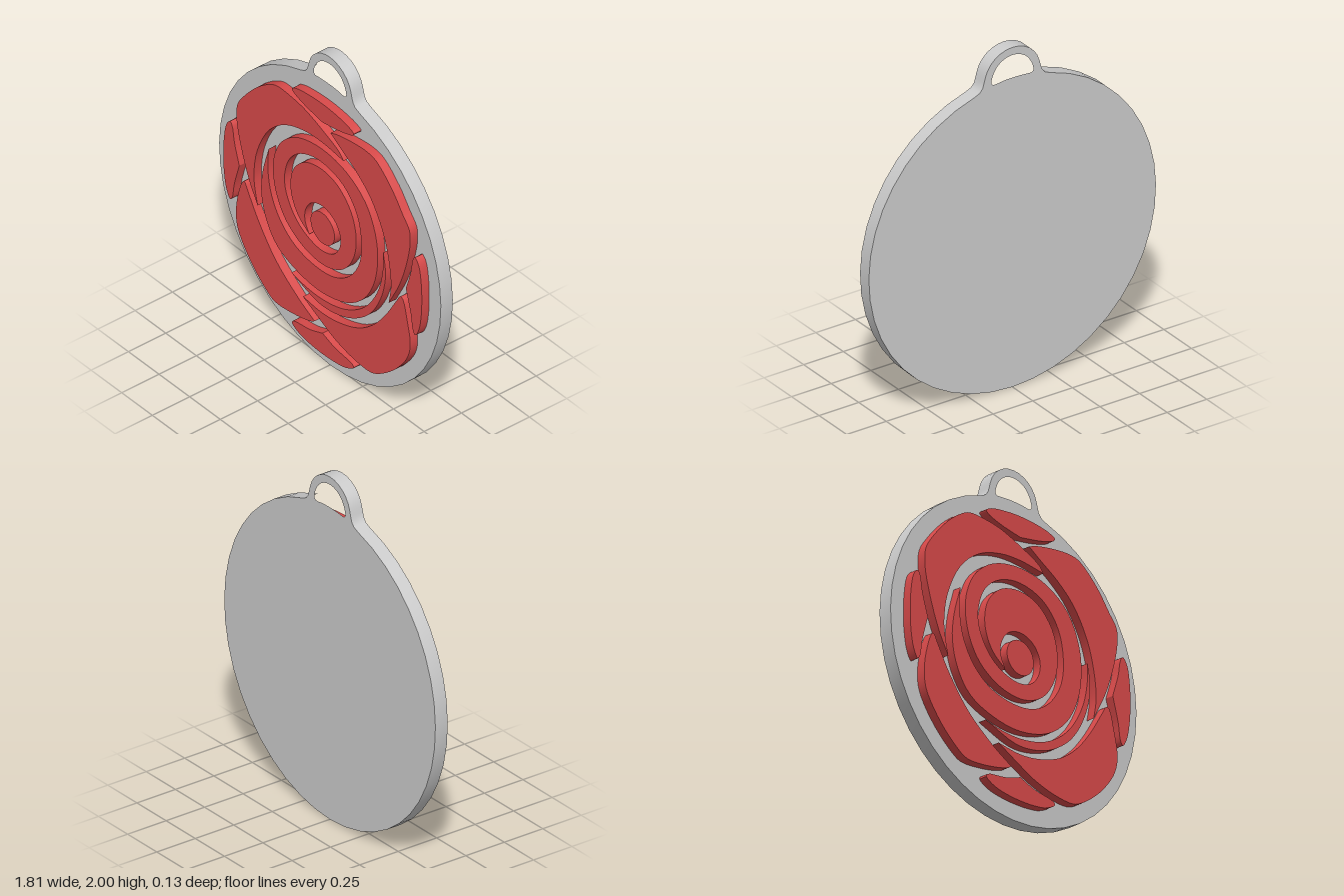
import * as THREE from 'three';
import { toCreasedNormals } from 'three/addons/utils/BufferGeometryUtils.js';

const CY = 0.905, R = 0.905;          // disc centre height and radius
const BACK = -0.065, FACE = 0.015, TOP = 0.065;

const grey = new THREE.MeshStandardMaterial({ color: 0xcccccc });
const red = new THREE.MeshStandardMaterial({ color: 0xd94a4a });

// Smooth runs of x,y pairs joined at sharp corners; each run ends where the next starts
function outline(runs, steps = 4) {
  const pts = [];
  runs.forEach((run, i) => {
    const next = runs[(i + 1) % runs.length];
    const flat = [...run, next[0], next[1]];
    const v = [];
    for (let k = 0; k < flat.length; k += 2) v.push(new THREE.Vector3(flat[k], flat[k + 1], 0));
    const n = (v.length - 1) * steps;
    const line = v.length > 2 ? new THREE.CatmullRomCurve3(v).getPoints(n) : v;
    line.slice(0, -1).forEach((p) => pts.push(new THREE.Vector2(p.x, p.y)));
  });
  return pts;
}

function slab(name, points, z0, z1, material, holes = []) {
  const shape = new THREE.Shape(points);
  holes.forEach((h) => shape.holes.push(new THREE.Path(h)));
  const geo = new THREE.ExtrudeGeometry(shape, { depth: z1 - z0, bevelEnabled: false });
  geo.translate(0, 0, z0);
  const mesh = new THREE.Mesh(toCreasedNormals(geo, 0.5), material);
  mesh.name = name;
  return mesh;
}

function backingPlate() {
  const pts = [];
  // disc rim, running clockwise from right of the loop to left of it
  const gap = 0.265, n = 40;
  for (let i = 0; i <= n; i++) {
    const a = Math.PI / 2 - gap - (i / n) * (Math.PI * 2 - gap * 2);
    pts.push(new THREE.Vector2(R * Math.cos(a), CY + R * Math.sin(a)));
  }
  // hanging loop with filleted feet
  const arch = [-0.205, 1.793, -0.187, 1.815, -0.178, 1.845];
  for (let i = 1; i < 14; i++) {
    const a = Math.PI - (i / 14) * Math.PI;
    arch.push(0.175 * Math.cos(a), 1.835 + 0.165 * Math.sin(a));
  }
  arch.push(0.178, 1.845, 0.187, 1.815, 0.205, 1.793);
  for (let k = 0; k < arch.length; k += 2) pts.push(new THREE.Vector2(arch[k], arch[k + 1]));
  const hole = outline([[
    -0.12, 1.815, -0.132, 1.828, -0.125, 1.865, -0.095, 1.915, -0.05, 1.945, 0, 1.955,
    0.05, 1.945, 0.095, 1.915, 0.125, 1.865, 0.132, 1.828, 0.12, 1.815, 0.06, 1.82, 0, 1.822, -0.06, 1.82,
  ]]);
  return slab('backingPlate', pts, BACK, FACE, grey, [hole]);
}

const petals = {
  upperLeftPetal: [
    [0.17, 1.45, 0.14, 1.485, 0, 1.55, -0.15, 1.602, -0.28, 1.62, -0.37, 1.62, -0.43, 1.595, -0.53, 1.52,
      -0.65, 1.385, -0.695, 1.31, -0.702, 1.21, -0.665, 1.05, -0.6, 0.875],
    [-0.53, 0.75, -0.555, 0.865, -0.56, 0.945, -0.535, 1.1, -0.44, 1.29, -0.305, 1.405, -0.15, 1.458, 0, 1.468],
  ],
  upperRightPetal: [
    [0.065, 1.57, 0.12, 1.59, 0.25, 1.615, 0.37, 1.622, 0.44, 1.605, 0.565, 1.5, 0.655, 1.385,
      0.708, 1.315, 0.715, 1.235, 0.69, 1.1, 0.63, 0.92],
    [0.54, 0.745, 0.558, 0.865, 0.54, 1.02, 0.49, 1.18, 0.39, 1.34, 0.275, 1.44, 0.14, 1.522],
  ],
  lowerRightPetal: [
    [-0.16, 0.375, 0, 0.36, 0.15, 0.382, 0.3, 0.44, 0.42, 0.535, 0.52, 0.66, 0.6, 0.79, 0.635, 0.842,
      0.655, 0.835, 0.69, 0.72, 0.715, 0.6, 0.71, 0.53, 0.68, 0.455, 0.58, 0.33, 0.45, 0.23, 0.385, 0.205,
      0.25, 0.212, 0.1, 0.25, -0.02, 0.305],
  ],
  lowerLeftPetal: [
    [-0.065, 0.27, -0.2, 0.345, -0.38, 0.48, -0.52, 0.65, -0.6, 0.78, -0.64, 0.843, -0.66, 0.82,
      -0.7, 0.68, -0.705, 0.56, -0.68, 0.48, -0.58, 0.345, -0.45, 0.235, -0.39, 0.207, -0.25, 0.215, -0.1, 0.25],
  ],
  crescentPetal: [
    [0.495, 1.045, 0.514, 0.93, 0.502, 0.82, 0.455, 0.69, 0.37, 0.565, 0.24, 0.468, 0.1, 0.418, -0.04, 0.41],
    [-0.255, 0.475, -0.13, 0.452, 0, 0.45, 0.15, 0.48, 0.28, 0.548, 0.38, 0.645, 0.46, 0.79, 0.492, 0.93],
  ],
  // slivers around the rim
  topSliver: [
    [0, 1.6, -0.15, 1.628, -0.24, 1.66, -0.25, 1.675, -0.21, 1.697, -0.1, 1.715, 0, 1.72, 0.1, 1.715, 0.21, 1.697,
      0.255, 1.675, 0.245, 1.66, 0.15, 1.628],
  ],
  bottomSliver: [
    [0, 0.23, -0.1, 0.195, -0.24, 0.17, -0.25, 0.152, -0.19, 0.117, -0.1, 0.1, 0, 0.095, 0.1, 0.1, 0.19, 0.117,
      0.255, 0.155, 0.245, 0.17, 0.1, 0.195],
  ],
};
const sideSliver = [
  [0.68, 0.92, 0.72, 1.05, 0.738, 1.145, 0.755, 1.165, 0.785, 1.13, 0.806, 1.02, 0.81, 0.92, 0.806, 0.82,
    0.785, 0.71, 0.755, 0.66, 0.738, 0.68, 0.72, 0.78],
];

// Spiral band: outer edge winding outwards, then inner edge winding back
const spiral = [
  [-0.11, 0.81, -0.2, 0.88, -0.25, 0.97, -0.262, 1.06, -0.235, 1.165, -0.14, 1.26, 0, 1.292, 0.13, 1.258,
    0.235, 1.15, 0.275, 1, 0.25, 0.86, 0.17, 0.745, 0.06, 0.688, -0.05, 0.678, -0.18, 0.71, -0.3, 0.79,
    -0.375, 0.91, -0.405, 1.05, -0.39, 1.17, -0.33, 1.285, -0.2, 1.385, 0, 1.425, 0.2, 1.388, 0.35, 1.285,
    0.43, 1.13, 0.45, 0.97, 0.42, 0.8, 0.335, 0.65, 0.2, 0.545, 0, 0.492, -0.2, 0.51, -0.37, 0.58,
    -0.46, 0.7, -0.5, 0.85, -0.488, 1],
  [-0.44, 1.17, -0.447, 1.08, -0.443, 1, -0.415, 0.88, -0.34, 0.757, -0.22, 0.668, -0.05, 0.632, 0.1, 0.652,
    0.22, 0.73, 0.3, 0.86, 0.317, 1, 0.28, 1.165, 0.17, 1.29, 0, 1.338, -0.15, 1.308, -0.26, 1.22,
    -0.307, 1.1, -0.305, 1, -0.26, 0.9, -0.19, 0.825, -0.1, 0.78, 0, 0.765, 0.09, 0.797, 0.14, 0.87,
    0.142, 0.95, 0.09, 1.025, 0, 1.055, -0.09, 1.025, -0.14, 0.95, -0.143, 0.88],
];

export function createModel() {
  const group = new THREE.Group();
  group.name = 'rosePendant';
  group.add(backingPlate());

  const rose = new THREE.Group();
  rose.name = 'rose';
  const add = (name, pts) => rose.add(slab(name, pts, FACE, TOP, red));
  for (const [name, runs] of Object.entries(petals)) add(name, outline(runs));
  add('spiralPetal', outline(spiral));

  const side = outline(sideSliver);
  add('leftSliver', side);
  add('rightSliver', side.map((p) => new THREE.Vector2(-p.x, p.y)).reverse());

  // round bud in the middle
  const bud = Array.from({ length: 40 }, (_, i) => {
    const a = (i / 40) * Math.PI * 2;
    return new THREE.Vector2(0.098 * Math.cos(a), 0.912 + 0.098 * Math.sin(a));
  });
  add('bud', bud);
  group.add(rose);
  return group;
}
